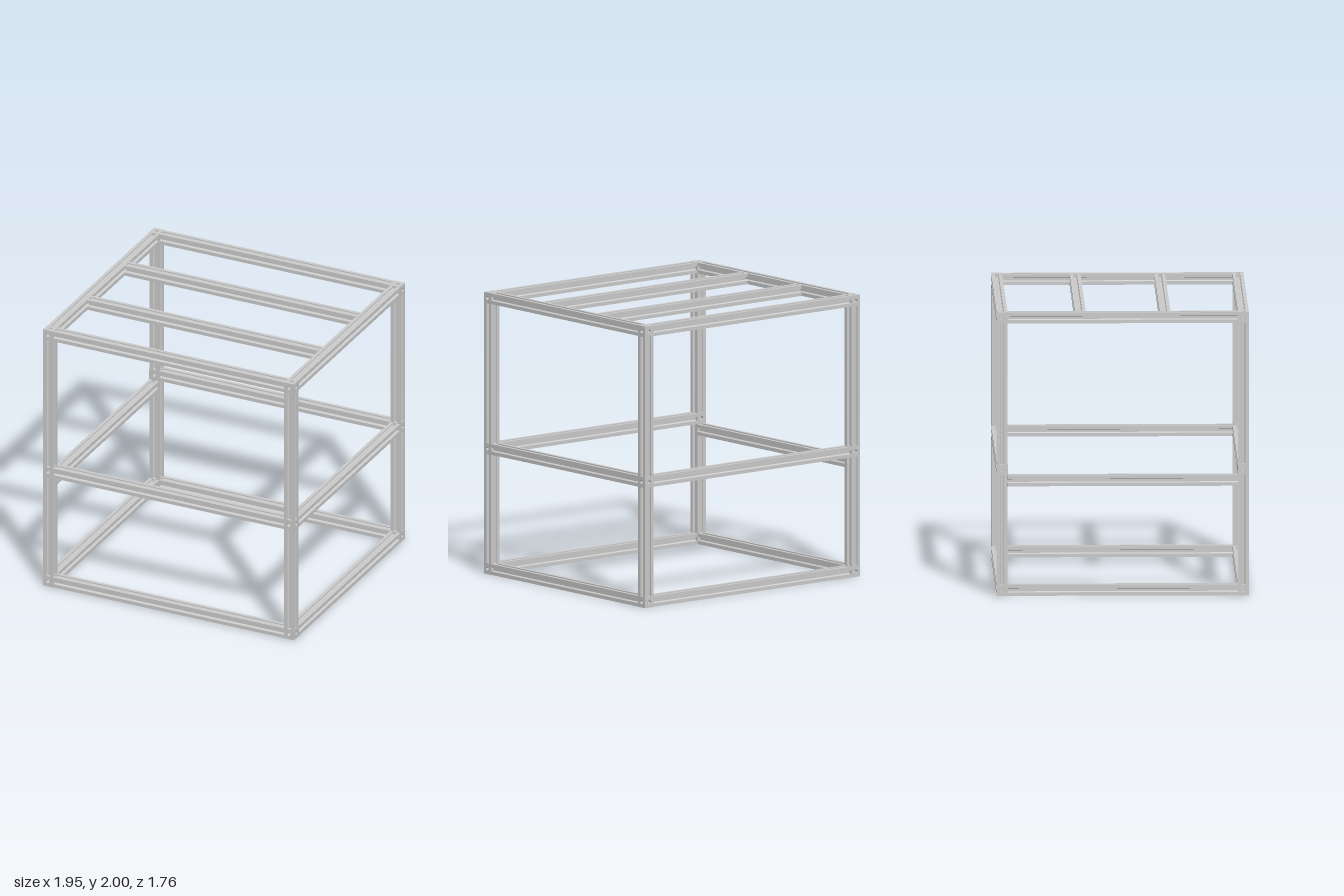
import * as THREE from 'three';

const metal = new THREE.MeshStandardMaterial({ color: 0xcccccc, side: THREE.DoubleSide });

const CUBE = 0.039;   // half size of a corner connector
const H = 0.038;      // half size of a slotted bar
const BORE = 0.0135;  // radius of the bolt holes
const X = 0.937, Z = 0.843;
const LEVELS = [0.039, 0.891, 1.961];

function circlePath(r) {
  const path = new THREE.Path();
  path.absarc(0, 0, r, 0, Math.PI * 2, true);
  return path;
}

// Slotted bar cross-section: one side, turned four times about the centre
function barShape(bored) {
  const side = [
    [H, -H], [H, -0.0137], [0.03, -0.0137], [0.03, -0.02], [0.016, -0.009],
    [0.016, 0.009], [0.03, 0.02], [0.03, 0.0137], [H, 0.0137],
  ];
  const points = [];
  for (let k = 0; k < 4; k++) {
    for (const [x, y] of side) {
      points.push(new THREE.Vector2(x, y).rotateAround(new THREE.Vector2(), k * Math.PI / 2));
    }
  }
  const shape = new THREE.Shape(points);
  if (bored) shape.holes.push(circlePath(BORE));
  return shape;
}

// Bar of a given length centred on a point and running along one axis
function bar(name, axis, length, x, y, z) {
  const geometry = new THREE.ExtrudeGeometry(barShape(axis !== 'x'), {
    depth: length, bevelEnabled: false, curveSegments: 10,
  });
  geometry.translate(0, 0, -length / 2);
  if (axis === 'x') geometry.rotateY(Math.PI / 2);
  if (axis === 'y') geometry.rotateX(-Math.PI / 2);
  const mesh = new THREE.Mesh(geometry, metal);
  mesh.name = name;
  mesh.position.set(x, y, z);
  return mesh;
}

// Cube connector: six drilled faces, each with a short hole lining
const faceShape = new THREE.Shape([
  new THREE.Vector2(-CUBE, -CUBE), new THREE.Vector2(CUBE, -CUBE),
  new THREE.Vector2(CUBE, CUBE), new THREE.Vector2(-CUBE, CUBE),
]);
faceShape.holes.push(circlePath(BORE));
const faceGeometry = new THREE.ShapeGeometry(faceShape, 10);
faceGeometry.translate(0, 0, CUBE);
const liningDepth = CUBE - BORE;
const liningGeometry = new THREE.CylinderGeometry(BORE, BORE, liningDepth, 20, 1, true);
liningGeometry.rotateX(Math.PI / 2);
liningGeometry.translate(0, 0, CUBE - liningDepth / 2);

function connector(x, y, z) {
  const group = new THREE.Group();
  group.name = 'cornerConnector';
  const turns = [0, 1, 2, 3].map((k) => [0, k * Math.PI / 2]);
  turns.push([Math.PI / 2, 0], [-Math.PI / 2, 0]);
  for (const [rx, ry] of turns) {
    const face = new THREE.Mesh(faceGeometry, metal);
    face.name = 'connectorFace';
    const lining = new THREE.Mesh(liningGeometry, metal);
    lining.name = 'boltHole';
    for (const part of [face, lining]) {
      part.rotation.set(rx, ry, 0);
      group.add(part);
    }
  }
  group.position.set(x, y, z);
  return group;
}

export function createModel() {
  const model = new THREE.Group();
  model.name = 'slottedBarFrame';
  const spanX = 2 * (X - CUBE), spanZ = 2 * (Z - CUBE);

  // Connectors and the post lengths between them
  for (const x of [-X, X]) {
    for (const z of [-Z, Z]) {
      LEVELS.forEach((y, i) => {
        model.add(connector(x, y, z));
        if (i === 0) return;
        const below = LEVELS[i - 1];
        model.add(bar('cornerPost', 'y', y - below - 2 * CUBE, x, (y + below) / 2, z));
      });
    }
  }

  // Front and back rails on every level
  for (const y of LEVELS) {
    for (const z of [-Z, Z]) model.add(bar(z > 0 ? 'frontRail' : 'backRail', 'x', spanX, 0, y, z));
  }

  // Side rails; the middle one on the -x side sits one bar lower
  LEVELS.forEach((y, i) => {
    model.add(bar('leftSideRail', 'z', spanZ, X, y, 0));
    model.add(bar('rightSideRail', 'z', spanZ, -X, i === 1 ? 0.812 : y, 0));
  });

  // Two cross bars in the top
  for (const z of [-0.296, 0.296]) model.add(bar('topCrossBar', 'x', spanX, 0, LEVELS[2], z));

  return model;
}
